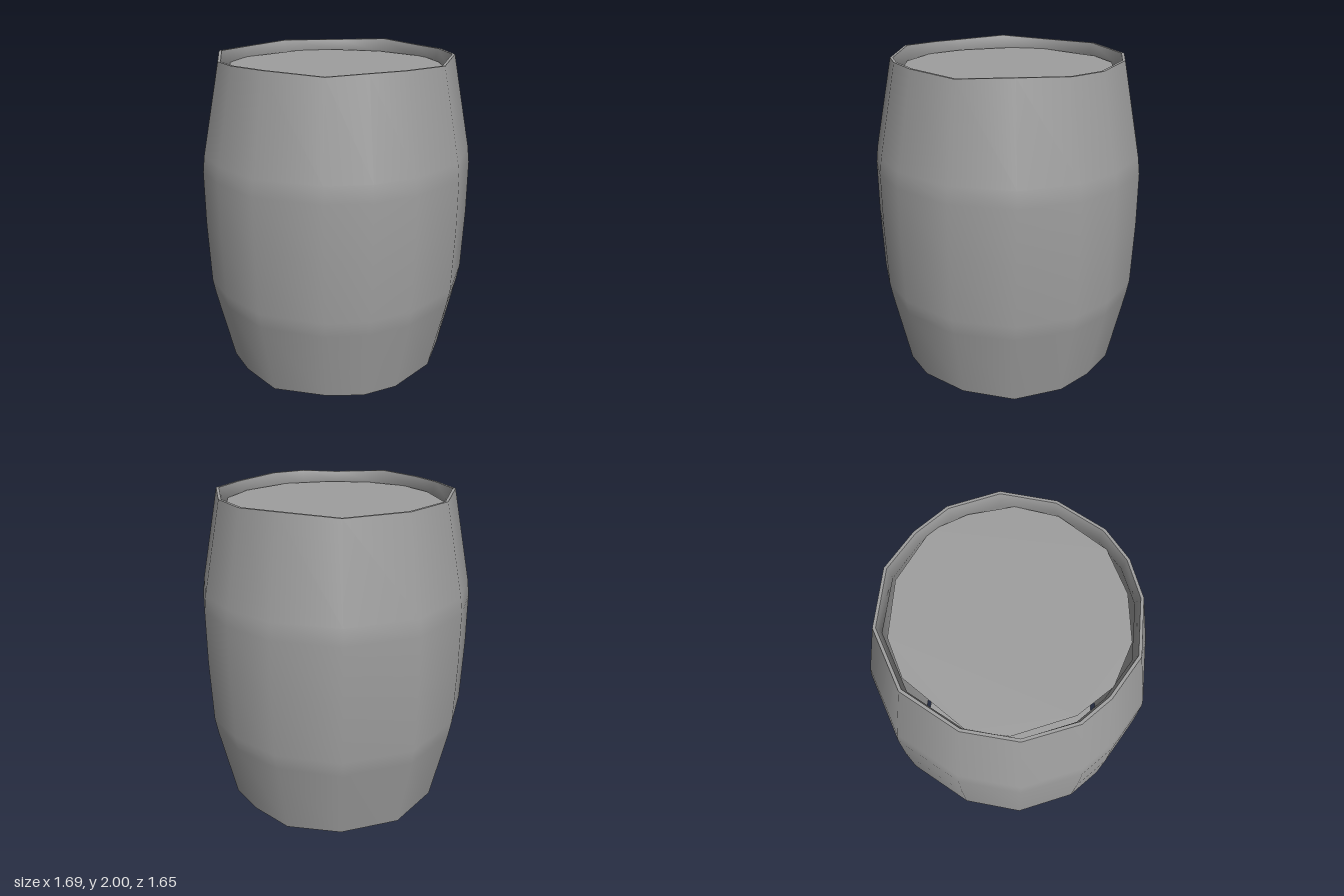
import * as THREE from 'three';

const material = new THREE.MeshStandardMaterial({ color: 0x9e9e9e, side: THREE.DoubleSide });

// Slightly irregular, hand-cut outlines as [x, z], running round from the back
const bellyOutline = [
  [-0.22, -0.83], [0.23, -0.83], [0.58, -0.62], [0.76, -0.35], [0.845, -0.08],
  [0.8, 0.28], [0.59, 0.6], [0.26, 0.785], [0, 0.825], [-0.27, 0.785],
  [-0.62, 0.58], [-0.78, 0.3], [-0.845, 0.07], [-0.8, -0.3], [-0.59, -0.6],
];
const lidOutline = [
  [-0.1, -0.66], [0.14, -0.65], [0.44, -0.49], [0.65, -0.2], [0.66, 0.03],
  [0.6, 0.29], [0.44, 0.49], [0.14, 0.64], [-0.15, 0.62], [-0.41, 0.51],
  [-0.59, 0.31], [-0.65, 0.07], [-0.61, -0.28], [-0.49, -0.47],
];

// Skin through rings of { y, scale, wobble }, shaded as a smooth round barrel
function skin(name, rings) {
  const n = bellyOutline.length, positions = [], normals = [], index = [];
  rings.forEach(({ y, scale, wobble = 0 }, i) => {
    const before = rings[Math.max(i - 1, 0)], after = rings[Math.min(i + 1, rings.length - 1)];
    const slope = new THREE.Vector2(after.y - before.y, 0.83 * (before.scale - after.scale)).normalize();
    bellyOutline.forEach(([x, z], j) => {
      const r = Math.hypot(x, z);
      positions.push(x * scale, y + wobble * (0.5 + 0.5 * Math.sin(j * 2.3)), z * scale);
      normals.push((x / r) * slope.x, slope.y, (z / r) * slope.x);
      if (i === 0) return;
      const a = (i - 1) * n + j, b = (i - 1) * n + (j + 1) % n;
      index.push(a, a + n, b + n, a, b + n, b);
    });
  });
  const geometry = new THREE.BufferGeometry();
  geometry.setAttribute('position', new THREE.Float32BufferAttribute(positions, 3));
  geometry.setAttribute('normal', new THREE.Float32BufferAttribute(normals, 3));
  geometry.setIndex(index);
  const mesh = new THREE.Mesh(geometry, material);
  mesh.name = name;
  return mesh;
}

// Flat recessed head of the barrel
function lid(name, y) {
  const shape = new THREE.Shape(lidOutline.map(([x, z]) => new THREE.Vector2(x, -z)));
  const mesh = new THREE.Mesh(new THREE.ShapeGeometry(shape).rotateX(-Math.PI / 2), material);
  mesh.position.y = y;
  mesh.name = name;
  return mesh;
}

export function createModel() {
  const barrel = new THREE.Group();
  barrel.name = 'barrel';

  // Bulging wall from foot to rim, with a soft bend above and below the belly
  const outer = [
    { y: 0, scale: 0.845, wobble: 0.02 },
    { y: 0.5, scale: 0.967 },
    { y: 0.6, scale: 0.987 },
    { y: 1.0, scale: 1.0 },
    { y: 1.33, scale: 0.997 },
    { y: 1.43, scale: 0.982 },
    { y: 2, scale: 0.845, wobble: -0.02 },
  ];
  // Inner wall from rim to foot, narrowing where it grips the lids
  const inner = [
    { y: 2, scale: 0.825, wobble: -0.02 },
    { y: 1.91, scale: 0.8 },
    { y: 1.38, scale: 0.96 },
    { y: 1.0, scale: 0.965 },
    { y: 0.55, scale: 0.945 },
    { y: 0.09, scale: 0.8 },
    { y: 0, scale: 0.825, wobble: 0.02 },
  ];

  barrel.add(
    skin('outerWall', outer),
    skin('topRim', [outer.at(-1), inner[0]]),
    skin('innerWall', inner),
    skin('bottomRim', [inner.at(-1), outer[0]]),
    lid('topLid', 1.92),
    lid('bottomLid', 0.08),
  );
  return barrel;
}
